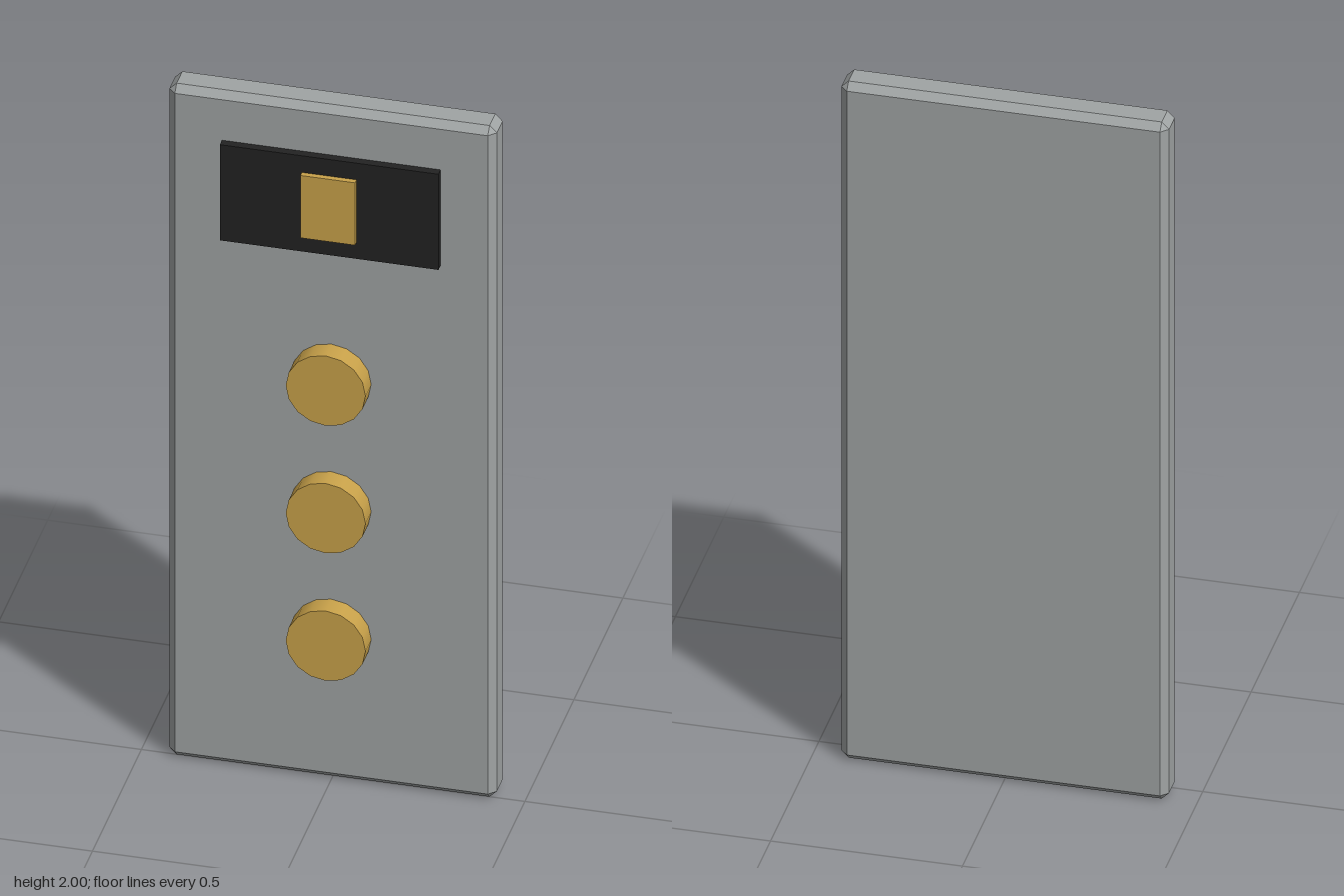
import * as THREE from 'three';
import { ConvexGeometry } from 'three/addons/geometries/ConvexGeometry.js';

// Box with every edge cut at 45 degrees
function chamferedBox(w, h, d, c) {
  const points = [];
  for (const sx of [-1, 1]) for (const sy of [-1, 1]) for (const sz of [-1, 1]) {
    for (let axis = 0; axis < 3; axis++) {
      const p = [w / 2 - c, h / 2 - c, d / 2 - c];
      p[axis] += c;
      points.push(new THREE.Vector3(sx * p[0], sy * p[1], sz * p[2]));
    }
  }
  return new ConvexGeometry(points);
}

export function createModel() {
  const metal = new THREE.MeshStandardMaterial({ name: 'grey metal', color: 0xa0a4a4 });
  const black = new THREE.MeshStandardMaterial({ name: 'black', color: 0x222222 });
  const brass = new THREE.MeshStandardMaterial({ name: 'brass', color: 0xc9a24a });

  const model = new THREE.Group();
  model.name = 'buttonPanel';
  const add = (name, geometry, material, x, y, z) => {
    const mesh = new THREE.Mesh(geometry, material);
    mesh.name = name;
    mesh.position.set(x, y, z);
    model.add(mesh);
  };

  // Back plate
  add('backPlate', chamferedBox(0.854, 2, 0.096, 0.019), metal, 0, 1, -0.029);

  // Display with its indicator
  add('display', new THREE.BoxGeometry(0.57, 0.285, 0.022), black, 0, 1.718, 0.03);
  add('indicator', new THREE.BoxGeometry(0.143, 0.186, 0.016), brass, 0, 1.718, 0.048);

  // Row of round push buttons
  const button = new THREE.CylinderGeometry(0.104, 0.104, 0.058, 16).rotateX(Math.PI / 2);
  for (let i = 0; i < 3; i++) add('button' + (i + 1), button, brass, 0, 1.193 - i * 0.38, 0.048);

  return model;
}
